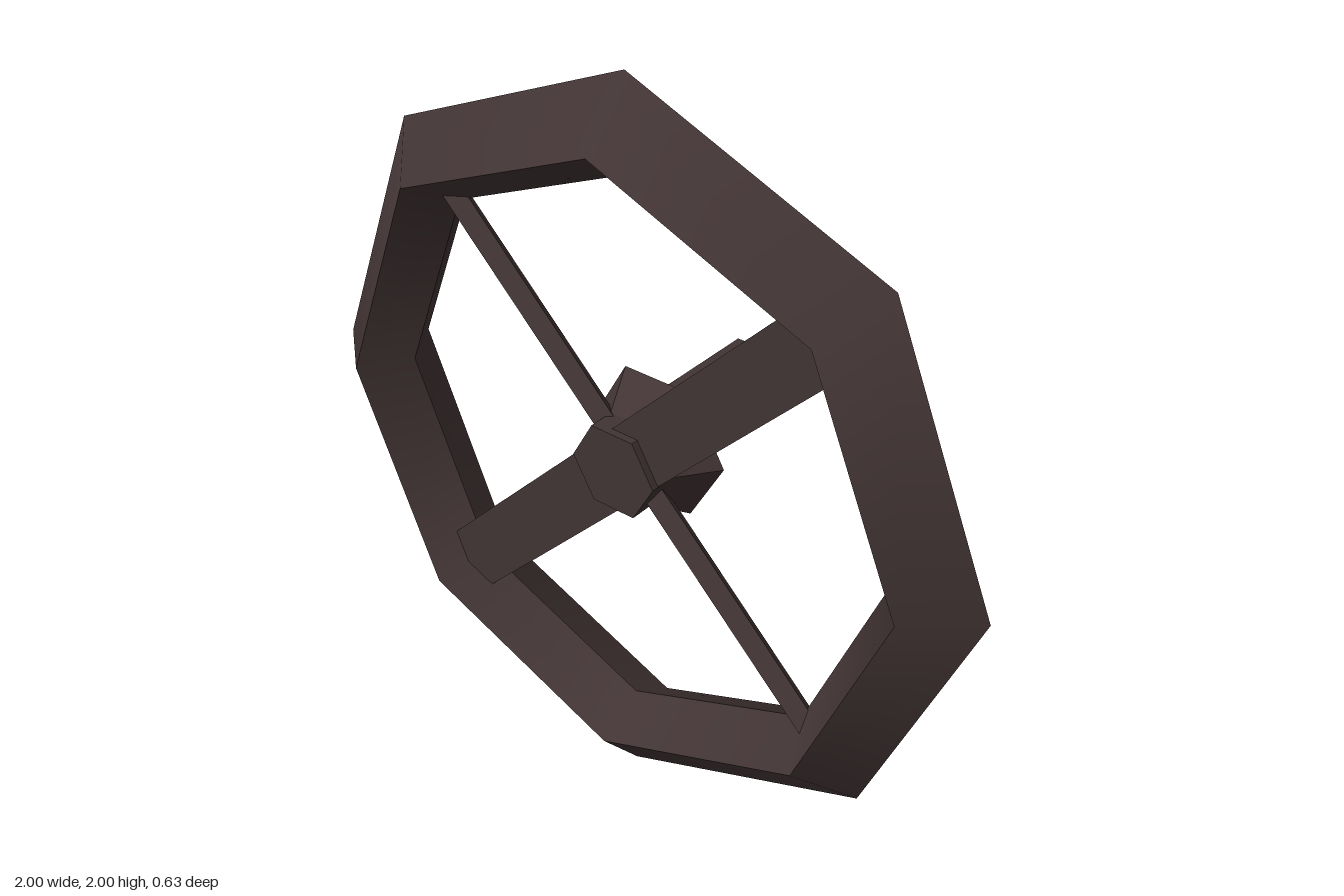
import * as THREE from 'three';
import { mergeGeometries } from 'three/addons/utils/BufferGeometryUtils.js';

// Revolve each profile edge on its own around z: sharp between bands
function revolve(profile, sides, phi, flat) {
  const bands = [];
  for (let i = 0; i < profile.length - 1; i++) {
    const pts = [profile[i], profile[i + 1]].map(([r, z]) => new THREE.Vector2(r, z));
    bands.push(new THREE.LatheGeometry(pts, sides, phi));
  }
  let geo = mergeGeometries(bands).rotateX(Math.PI / 2);
  if (flat) {
    geo = geo.toNonIndexed();
    geo.computeVertexNormals();
  }
  return geo;
}

// Bar through the hub along local x, with its section given as (side, z) corners
function bar(section, length, angle) {
  const shape = new THREE.Shape(section.map(([s, z]) => new THREE.Vector2(s, z)));
  const geo = new THREE.ExtrudeGeometry(shape, { depth: length, bevelEnabled: false });
  geo.translate(0, 0, -length / 2);
  // section x -> y, section y -> z, depth -> x
  geo.applyMatrix4(new THREE.Matrix4().makeBasis(
    new THREE.Vector3(0, 1, 0), new THREE.Vector3(0, 0, 1), new THREE.Vector3(1, 0, 0)));
  return geo.rotateZ(angle);
}

export function createModel() {
  const group = new THREE.Group();
  const iron = new THREE.MeshStandardMaterial({ color: 0x423434 });
  iron.name = 'darkIron';
  const add = (name, geo) => {
    const mesh = new THREE.Mesh(geo, iron);
    mesh.name = name;
    mesh.position.y = 1;
    group.add(mesh);
  };

  const mid = 0.183;

  // Eight-sided rim with a kite section
  add('rim', revolve([[1, mid], [0.842, 0.316], [0.757, mid], [0.842, 0.05], [1, mid]], 8, 0, false));

  // Wide flat spoke pair, bevelled at the back
  add('wideSpokes', bar(
    [[-0.088, 0.235], [-0.088, 0.18], [-0.055, 0.13], [0.055, 0.13], [0.088, 0.18], [0.088, 0.235]],
    1.62, Math.PI / 4));

  // Thin spoke pair, turned on its edge
  const a = 0.075 / 2 * Math.SQRT1_2, b = 0.05 / 2 * Math.SQRT1_2;
  add('thinSpokes', bar(
    [[a + b, mid + a - b], [a - b, mid + a + b], [-a - b, mid - a + b], [b - a, mid - a - b]],
    1.62, -Math.PI / 4));

  // Six-sided hub flaring to a collar
  add('hub', revolve(
    [[0, 0.025], [0.11, 0.025], [0.205, 0.08], [0.126, 0.185], [0.126, 0.255], [0, 0.255]],
    6, Math.PI / 2, true));

  // Six-sided shaft at the back
  add('shaft', revolve([[0, -0.316], [0.106, -0.316], [0.106, 0.05], [0, 0.05]], 6, Math.PI / 2, true));

  return group;
}
